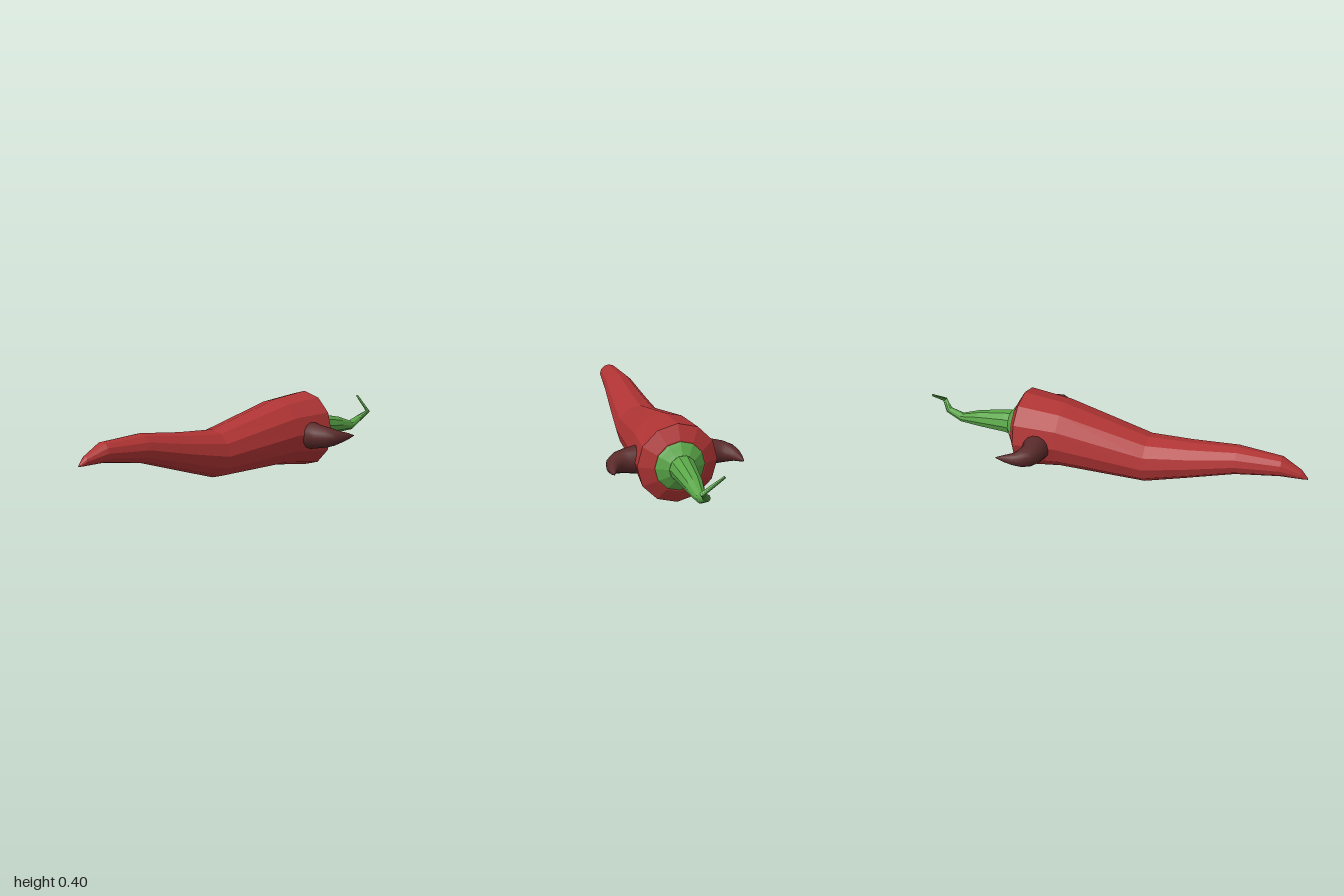
import * as THREE from 'three';

const red = new THREE.MeshStandardMaterial({ color: 0xb03434, flatShading: true });
const green = new THREE.MeshStandardMaterial({ color: 0x5aa648, flatShading: true });
const maroon = new THREE.MeshStandardMaterial({ color: 0x5a2a2a });

// Skins rings [x, y, z, radius, heightRadius = radius] along a path.
// A straight loft keeps every ring facing z; otherwise rings follow the path.
function loft(rings, sides, straight = false) {
  const centres = rings.map(r => new THREE.Vector3(r[0], r[1], r[2]));
  const n = rings.length, pos = [], index = [];
  let dir = new THREE.Vector3(0, 0, 1);
  const q = new THREE.Quaternion();
  centres.forEach((c, i) => {
    if (!straight) {
      const next = new THREE.Vector3();
      if (i < n - 1) next.add(centres[i + 1].clone().sub(c).normalize());
      if (i > 0) next.add(c.clone().sub(centres[i - 1]).normalize());
      next.normalize();
      q.premultiply(new THREE.Quaternion().setFromUnitVectors(dir, next));
      dir = next;
    }
    const [, , , rx, ry = rx] = rings[i];
    for (let k = 0; k < sides; k++) {
      const a = (k / sides) * Math.PI * 2;
      const p = new THREE.Vector3(Math.cos(a) * rx, Math.sin(a) * ry, 0).applyQuaternion(q).add(c);
      pos.push(p.x, p.y, p.z);
    }
  });
  const first = n * sides, last = first + 1;
  pos.push(...centres[0].toArray(), ...centres[n - 1].toArray());
  for (let k = 0; k < sides; k++) {
    const k1 = (k + 1) % sides;
    for (let i = 0; i < n - 1; i++) {
      const a = i * sides + k, b = i * sides + k1;
      index.push(a, b, b + sides, a, b + sides, a + sides);
    }
    index.push(first, k1, k);
    index.push(last, (n - 1) * sides + k, (n - 1) * sides + k1);
  }
  const g = new THREE.BufferGeometry();
  g.setAttribute('position', new THREE.Float32BufferAttribute(pos, 3));
  g.setIndex(index);
  g.computeVertexNormals();
  return g;
}

export function createModel() {
  const group = new THREE.Group();
  const add = (name, geometry, material) => {
    const mesh = new THREE.Mesh(geometry, material);
    mesh.name = name;
    group.add(mesh);
  };

  // Pepper body: [z, top, bottom, half width], from the shoulder to the tip
  const profile = [
    [-0.53, 0.335, 0.073, 0.13],
    [-0.49, 0.405, 0.002, 0.2],
    [-0.27, 0.382, 0.03, 0.178],
    [0.18, 0.268, 0.022, 0.131],
    [0.4, 0.278, 0.085, 0.107],
    [0.64, 0.3, 0.155, 0.08],
    [0.865, 0.285, 0.185, 0.052],
    [0.965, 0.229, 0.183, 0.023],
    [1.0, 0.19, 0.183, 0.004],
  ];
  const rings = profile.map(([z, t, b, w]) => [0, (t + b) / 2, z, w, (t - b) / 2]);
  add('pepperBody', loft(rings, 12, true), red);

  // Flared collar where the stem meets the body
  add('stemCollar', loft([
    [0, 0.207, -0.572, 0.066],
    [0, 0.206, -0.56, 0.082],
    [0, 0.204, -0.54, 0.112],
    [0, 0.204, -0.525, 0.13],
  ], 12, true), green);

  // Stem that thins, bends upward and ends in a sideways hook
  add('stem', loft([
    [0, 0.208, -0.55, 0.068],
    [0, 0.208, -0.6, 0.062],
    [0, 0.195, -0.75, 0.045],
    [0.003, 0.179, -0.86, 0.025],
    [0.003, 0.212, -0.935, 0.018],
    [0.036, 0.25, -0.972, 0.012],
    [-0.062, 0.328, -0.99, 0.006],
  ], 10), green);

  // Pair of horns sweeping out and backward
  for (const [side, name] of [[1, 'leftHorn'], [-1, 'rightHorn']]) {
    const path = [
      [0.13, -0.37, 0.072],
      [0.18, -0.37, 0.07],
      [0.225, -0.372, 0.061],
      [0.262, -0.385, 0.054],
      [0.29, -0.41, 0.044],
      [0.307, -0.445, 0.03],
      [0.315, -0.49, 0.017],
      [0.32, -0.53, 0.002],
    ].map(([x, z, r]) => [x * side, 0.195, z, r]);
    add(name, loft(path, 14), maroon);
  }
  return group;
}
